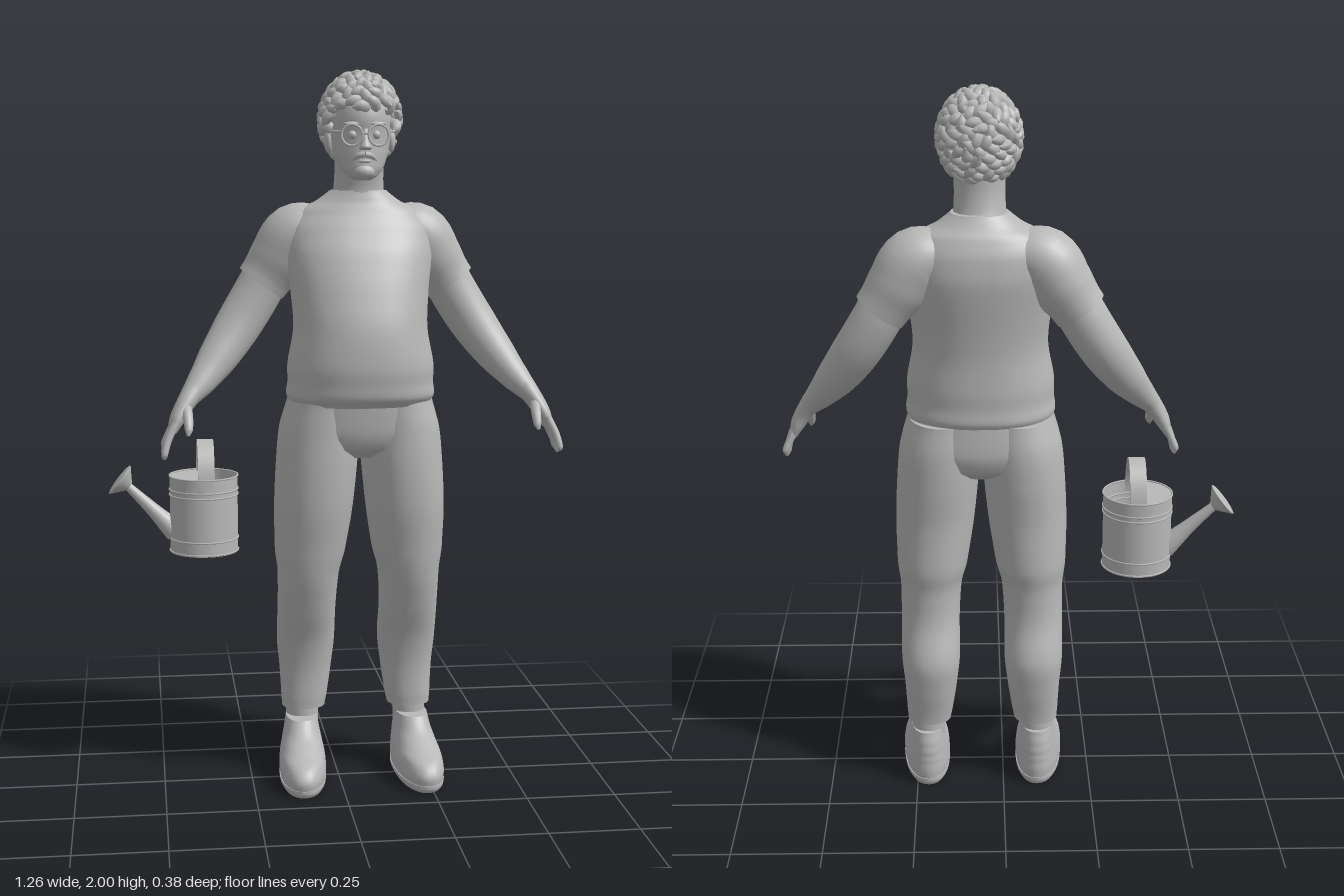
import * as THREE from 'three';

const grey = new THREE.MeshStandardMaterial({ color: 0xb8b8b8, side: THREE.DoubleSide });
grey.name = 'clay grey';

function add(parent, name, geometry, x = 0, y = 0, z = 0) {
  const mesh = new THREE.Mesh(geometry, grey);
  mesh.name = name;
  mesh.position.set(x, y, z);
  parent.add(mesh);
  return mesh;
}

// Smooth skin over elliptical sections [x, y, z, ra, rb].
// flat: sections stay horizontal; otherwise they stand square to the path.
function loft(sections, { flat = false, sides = 28, steps = 5, power = 1 } = {}) {
  const path = new THREE.CatmullRomCurve3(sections.map(s => new THREE.Vector3(s[0], s[1], s[2])));
  const size = new THREE.CatmullRomCurve3(sections.map(s => new THREE.Vector3(s[3], s[4] ?? s[3], 0)), false, 'catmullrom', 0.4);
  const n = (sections.length - 1) * steps, pos = [], idx = [];
  const bulge = v => Math.sign(v) * Math.abs(v) ** power;
  const ring = i => {
    const c = path.getPoint(i / n), r = size.getPoint(i / n);
    const t = flat ? new THREE.Vector3(0, 1, 0) : path.getTangent(i / n);
    const b = new THREE.Vector3(0, 0, 1).addScaledVector(t, -t.z);
    if (b.lengthSq() < 1e-4) b.set(0, 1, 0);
    b.normalize();
    const a = t.clone().cross(b);
    for (let j = 0; j < sides; j++) {
      const w = j / sides * Math.PI * 2;
      const p = c.clone().addScaledVector(a, bulge(Math.cos(w)) * r.x).addScaledVector(b, bulge(Math.sin(w)) * r.y);
      pos.push(p.x, p.y, p.z);
    }
    return c;
  };
  for (let i = 0; i <= n; i++) ring(i);
  for (let i = 0; i < n; i++) for (let j = 0; j < sides; j++) {
    const k = (j + 1) % sides, p = i * sides, q = p + sides;
    idx.push(p + j, q + j, p + k, q + j, q + k, p + k);
  }
  for (const end of [0, n]) {
    const base = pos.length / 3, c = ring(end), m = base + sides;
    pos.push(c.x, c.y, c.z);
    for (let j = 0; j < sides; j++) {
      const k = (j + 1) % sides;
      if (end) idx.push(m, base + k, base + j); else idx.push(m, base + j, base + k);
    }
  }
  const g = new THREE.BufferGeometry();
  g.setAttribute('position', new THREE.Float32BufferAttribute(pos, 3));
  g.setIndex(idx);
  g.computeVertexNormals();
  return g;
}

function buildClothes(body) {
  add(body, 'shirt', loft([
    [0, 1.09, -0.005, 0.195, 0.15], [0, 1.115, 0, 0.207, 0.166], [0, 1.15, 0.004, 0.203, 0.168],
    [0, 1.2, 0.006, 0.203, 0.172], [0, 1.3, 0.002, 0.186, 0.168], [0, 1.4, -0.018, 0.192, 0.159],
    [0, 1.5, -0.044, 0.205, 0.146], [0, 1.57, -0.06, 0.2, 0.124], [0, 1.62, -0.065, 0.165, 0.1],
    [0, 1.65, -0.06, 0.11, 0.083], [0, 1.675, -0.055, 0.078, 0.072]], { flat: true, sides: 48, power: 0.9 }));
  add(body, 'trouserSeat', loft([
    [0, 0.94, -0.025, 0.1, 0.09], [0, 0.97, -0.02, 0.19, 0.13], [0, 1.02, -0.018, 0.222, 0.146],
    [0, 1.12, -0.01, 0.198, 0.148]], { flat: true, sides: 40, power: 0.92 }));
}

function buildLeg(body, s) {
  const side = s > 0 ? 'left' : 'right';
  const m = rows => rows.map(([x, ...r]) => [s * x, ...r]);
  add(body, side + 'TrouserLeg', loft(m([
    [0.154, 0.19, -0.083, 0.062, 0.058], [0.152, 0.22, -0.084, 0.066, 0.062], [0.148, 0.3, -0.09, 0.074, 0.073],
    [0.147, 0.39, -0.086, 0.083, 0.088], [0.147, 0.5, -0.05, 0.083, 0.096], [0.144, 0.6, -0.032, 0.087, 0.112],
    [0.139, 0.67, -0.03, 0.1, 0.125], [0.13, 0.8, -0.018, 0.111, 0.136], [0.121, 0.92, -0.019, 0.114, 0.145],
    [0.113, 1.02, -0.02, 0.112, 0.146], [0.1, 1.1, -0.015, 0.1, 0.14]]), { flat: true, power: 0.94 }));
  add(body, side + 'Ankle', new THREE.CylinderGeometry(0.048, 0.045, 0.14, 24), s * 0.157, 0.15, -0.085);
  // Shoe, toe turned slightly outward, on a flat sole
  const shoe = new THREE.Group();
  shoe.name = side + 'Shoe';
  shoe.position.set(s * 0.165, 0, 0);
  shoe.rotation.y = s * 0.06;
  body.add(shoe);
  add(shoe, 'shoeUpper', loft([
    [0, 0.015, 0.015, 0.064, 0.172], [0, 0.045, 0.015, 0.067, 0.175], [0, 0.075, 0.004, 0.064, 0.163],
    [0, 0.1, -0.026, 0.058, 0.132], [0, 0.13, -0.055, 0.051, 0.1], [0, 0.165, -0.07, 0.045, 0.077]],
    { flat: true, sides: 32, power: 0.9 }));
  add(shoe, 'shoeSole', loft([
    [0, 0, 0.014, 0.06, 0.166], [0, 0.01, 0.015, 0.066, 0.174], [0, 0.022, 0.015, 0.067, 0.175]],
    { flat: true, sides: 32, steps: 2, power: 0.9 }));
}

function buildArm(body, s) {
  const side = s > 0 ? 'left' : 'right';
  const m = rows => rows.map(([x, ...r]) => [s * x, ...r]);
  add(body, side + 'Sleeve', loft(m([
    [0.08, 1.57, -0.075, 0.06, 0.075], [0.168, 1.55, -0.085, 0.09, 0.092], [0.215, 1.488, -0.092, 0.086, 0.086],
    [0.25, 1.44, -0.095, 0.076, 0.074], [0.268, 1.415, -0.095, 0.074, 0.071]])));
  add(body, side + 'Arm', loft(m([
    [0.24, 1.46, -0.095, 0.066], [0.285, 1.38, -0.094, 0.067], [0.335, 1.3, -0.08, 0.065],
    [0.39, 1.22, -0.045, 0.056], [0.44, 1.155, -0.002, 0.041], [0.475, 1.115, 0.025, 0.029, 0.034]])));
  // Palm, four spread fingers and thumb
  add(body, side + 'Palm', loft(m([
    [0.465, 1.13, 0.018, 0.03, 0.034], [0.492, 1.09, 0.037, 0.025, 0.038], [0.512, 1.055, 0.048, 0.021, 0.043],
    [0.526, 1.022, 0.054, 0.013, 0.041]]), { sides: 20 }));
  for (let i = 0; i < 4; i++) {
    const z = 0.023 + i * 0.021, tipZ = 0.012 + i * 0.032, tipY = [0.972, 0.954, 0.949, 0.958][i];
    add(body, side + 'Finger', loft(m([
      [0.516, 1.05, z, 0.011], [0.538, 1.005, (z + tipZ) / 2, 0.0105], [0.548, tipY + 0.01, tipZ, 0.009],
      [0.549, tipY, tipZ + 0.001, 0.004]]), { sides: 10, steps: 3 }));
  }
  add(body, side + 'Thumb', loft(m([
    [0.487, 1.095, 0.05, 0.015], [0.483, 1.065, 0.088, 0.014], [0.482, 1.035, 0.112, 0.011],
    [0.484, 1.02, 0.12, 0.004]]), { sides: 10, steps: 3 }));
}

function buildHead(body) {
  add(body, 'neck', loft([
    [0, 1.63, -0.055, 0.078, 0.075], [0, 1.68, -0.045, 0.07, 0.064], [0, 1.73, -0.035, 0.068, 0.065],
    [0, 1.79, -0.03, 0.07, 0.07]], { flat: true }));
  add(body, 'head', loft([
    [0, 1.703, 0.045, 0.022, 0.028], [0, 1.715, 0.035, 0.042, 0.05], [0, 1.74, 0.012, 0.062, 0.078],
    [0, 1.78, -0.006, 0.076, 0.094], [0, 1.82, -0.015, 0.083, 0.102], [0, 1.87, -0.017, 0.087, 0.109],
    [0, 1.92, -0.022, 0.08, 0.1], [0, 1.96, -0.024, 0.05, 0.065]], { flat: true }));
  add(body, 'nose', loft([
    [0, 1.783, 0.09, 0.014, 0.012], [0, 1.79, 0.1, 0.017, 0.018], [0, 1.808, 0.094, 0.011, 0.015],
    [0, 1.84, 0.086, 0.008, 0.01]], { flat: true, sides: 14 }));
  add(body, 'goatee', new THREE.SphereGeometry(1, 18, 12), 0, 1.726, 0.072).scale.set(0.03, 0.022, 0.026);
  add(body, 'lowerLip', new THREE.SphereGeometry(1, 14, 8), 0, 1.754, 0.083).scale.set(0.02, 0.006, 0.012);
  for (const s of [-1, 1]) {
    add(body, 'moustache', loft([
      [0, 1.772, 0.091, 0.008], [s * 0.016, 1.769, 0.087, 0.008], [s * 0.034, 1.755, 0.073, 0.004]],
      { sides: 10, steps: 4 }));
    add(body, 'eye', new THREE.SphereGeometry(0.012, 16, 12), s * 0.032, 1.824, 0.076);
    add(body, 'eyebrow', new THREE.SphereGeometry(1, 14, 8), s * 0.034, 1.853, 0.083).scale.set(0.024, 0.006, 0.01);
    add(body, 'ear', new THREE.SphereGeometry(1, 16, 12), s * 0.086, 1.81, -0.02).scale.set(0.013, 0.034, 0.022);
    // Glasses
    add(body, 'glassesRim', new THREE.TorusGeometry(0.028, 0.0032, 8, 28), s * 0.036, 1.823, 0.099).rotation.y = s * 0.15;
    add(body, 'glassesTemple', new THREE.TubeGeometry(new THREE.CatmullRomCurve3([
      new THREE.Vector3(s * 0.063, 1.832, 0.095), new THREE.Vector3(s * 0.085, 1.834, 0.06),
      new THREE.Vector3(s * 0.095, 1.836, -0.02)]), 10, 0.003, 6));
  }
  add(body, 'glassesBridge', new THREE.CylinderGeometry(0.003, 0.003, 0.02, 8), 0, 1.828, 0.103).rotation.z = Math.PI / 2;
}

function buildHair(body) {
  const hair = new THREE.Group();
  hair.name = 'hair';
  hair.position.set(0, 1.865, -0.018);
  body.add(hair);
  const cap = new THREE.SphereGeometry(1, 32, 20, 0, Math.PI * 2, 0, Math.PI * 0.56);
  cap.rotateX(-0.5);
  cap.scale(0.1, 0.116, 0.117);
  add(hair, 'hairCap', cap);
  // Curly locks spread evenly over the scalp, leaving the face clear
  let seed = 7;
  const rnd = () => (seed = (seed * 16807) % 2147483647) / 2147483647;
  const count = 210, scale = new THREE.Vector3(0.1, 0.117, 0.118);
  for (let i = 0; i < count; i++) {
    const y = 1 - 2 * (i + 0.5) / count, w = i * 2.39996, r = Math.sqrt(1 - y * y);
    const d = new THREE.Vector3(r * Math.cos(w), y, r * Math.sin(w));
    const limit = d.z > 0.45 ? 0.26 : d.z > 0 ? -0.15 : -0.8;
    if (d.y < limit) continue;
    const swirl = new THREE.Vector3(rnd() - 0.5, rnd() - 0.7, rnd() - 0.5).cross(d).normalize();
    const at = (out, slide, radius) => {
      const p = d.clone().multiplyScalar(out).addScaledVector(swirl, slide).multiply(scale);
      return [p.x, p.y, p.z, radius];
    };
    add(hair, 'curl', loft([
      at(0.88, -0.12, 0.016), at(1.02, -0.02, 0.016), at(1.06, 0.14, 0.012), at(1.02 + rnd() * 0.11, 0.26, 0.003)],
      { sides: 7, steps: 3 }));
  }
}

function buildCan(model) {
  const can = new THREE.Group();
  can.name = 'wateringCan';
  can.position.set(-0.377, 0.66, -0.065);
  model.add(can);
  add(can, 'canWall', new THREE.CylinderGeometry(0.096, 0.096, 0.22, 40, 1, true), 0, 0.11, 0);
  add(can, 'canBase', new THREE.CylinderGeometry(0.096, 0.096, 0.006, 40), 0, 0.004, 0);
  for (const y of [0.004, 0.04, 0.165, 0.18, 0.218])
    add(can, 'canBand', new THREE.TorusGeometry(0.0965, 0.0028, 6, 40), 0, y, 0).rotation.x = Math.PI / 2;
  // Half lid on the spout side
  add(can, 'halfLid', new THREE.CylinderGeometry(0.095, 0.095, 0.005, 24, 1, false, Math.PI, Math.PI), 0, 0.214, 0);
  // Flat strap handle arching front to back
  const arch = new THREE.Shape();
  arch.absellipse(0, 0, 0.088, 0.13, 0, Math.PI, false);
  arch.absellipse(0, 0, 0.081, 0.123, Math.PI, 0, true);
  const strap = new THREE.ExtrudeGeometry(arch, { depth: 0.046, bevelEnabled: false, curveSegments: 24 });
  strap.rotateY(Math.PI / 2);
  add(can, 'canHandle', strap, -0.018, 0.19, 0);
  // Spout ending in a flared rose
  add(can, 'spout', loft([
    [-0.08, 0.055, -0.005, 0.032], [-0.15, 0.125, -0.013, 0.019], [-0.215, 0.188, -0.022, 0.012]], { sides: 20 }));
  const rose = add(can, 'spoutRose', new THREE.CylinderGeometry(0.05, 0.012, 0.034, 32), -0.222, 0.194, -0.023);
  rose.rotation.z = 0.9;
  const face = new THREE.SphereGeometry(0.05, 32, 6, 0, Math.PI * 2, 0, Math.PI / 2);
  face.scale(1, 0.12, 1);
  add(rose, 'roseFace', face, 0, 0.017, 0);
}

export function createModel() {
  const model = new THREE.Group();
  model.name = 'gardener';
  const body = new THREE.Group();
  body.name = 'person';
  body.position.x = 0.06;
  model.add(body);
  buildClothes(body);
  for (const s of [-1, 1]) {
    buildLeg(body, s);
    buildArm(body, s);
  }
  buildHead(body);
  buildHair(body);
  buildCan(model);
  return model;
}
